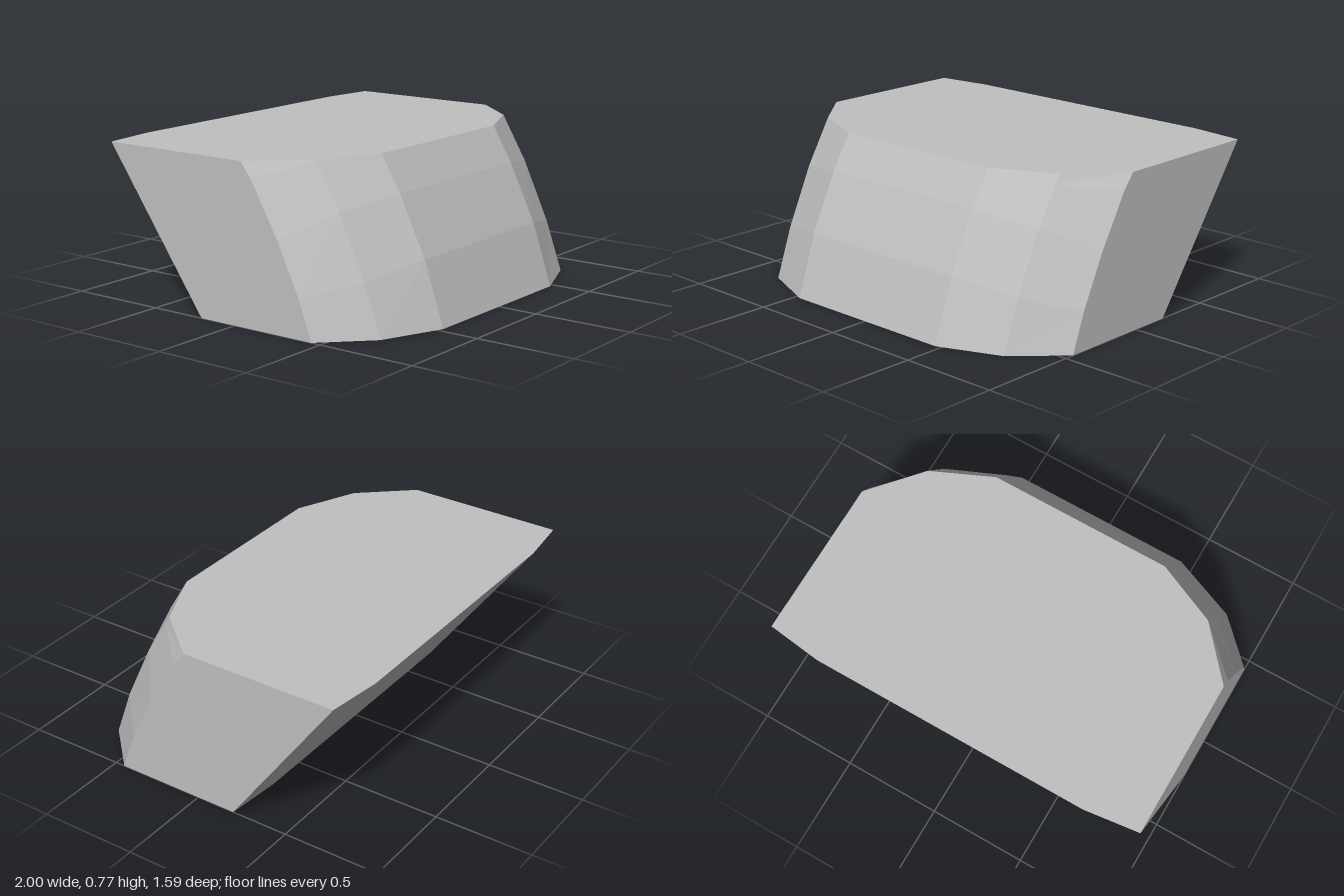
import * as THREE from 'three';

// Vertical edge columns of the right half: x, then [y, z] from bottom to top
const FRONT = [
  { x: 0.47, yz: [[0, 0.795], [0.31, 0.69], [0.6, 0.55], [0.69, 0.496], [0.775, 0.445]] },
  { x: 0.78, yz: [[0, 0.67], [0.25, 0.58], [0.55, 0.44], [0.73, 0.332], [0.775, 0.305]] },
  { x: 1, yz: [[0, 0.45], [0.19, 0.38], [0.44, 0.26], [0.7, 0.11], [0.775, 0.05]] },
];

// Straight sloping back edge, split at the heights of the side's front edge
function backColumn(x, zBottom, zTop) {
  const yz = FRONT[2].yz.map(([y]) => [y, zBottom + (zTop - zBottom) * y / 0.775]);
  return { x, yz };
}

export function createModel() {
  const group = new THREE.Group();
  group.name = 'slantedBlock';

  // Outline runs anticlockwise seen from above
  const half = [...FRONT, backColumn(1, -0.205, -0.76), backColumn(0.72, -0.23, -0.795)];
  const mirrored = half.map(c => ({ x: -c.x, yz: c.yz })).reverse();
  const columns = [...half, ...mirrored];
  const n = columns.length;
  const rings = FRONT[0].yz.length;

  const positions = [];
  for (let k = 0; k < rings; k++) {
    for (const { x, yz } of columns) positions.push(x, yz[k][0], yz[k][1]);
  }

  const index = [];
  // Walls
  for (let k = 0; k < rings - 1; k++) {
    for (let i = 0; i < n; i++) {
      const j = (i + 1) % n;
      const a = k * n + i, b = k * n + j, c = b + n, d = a + n;
      index.push(a, b, c, a, c, d);
    }
  }
  // Flat bottom and top
  const top = (rings - 1) * n;
  for (let i = 1; i < n - 1; i++) {
    index.push(0, i + 1, i);
    index.push(top, top + i, top + i + 1);
  }

  const indexed = new THREE.BufferGeometry();
  indexed.setAttribute('position', new THREE.Float32BufferAttribute(positions, 3));
  indexed.setIndex(index);
  const geometry = indexed.toNonIndexed();
  geometry.computeVertexNormals();

  const material = new THREE.MeshStandardMaterial({ color: 0xc0c0c0 });
  material.name = 'lightGrey';
  material.flatShading = true;

  const body = new THREE.Mesh(geometry, material);
  body.name = 'body';
  group.add(body);
  return group;
}
